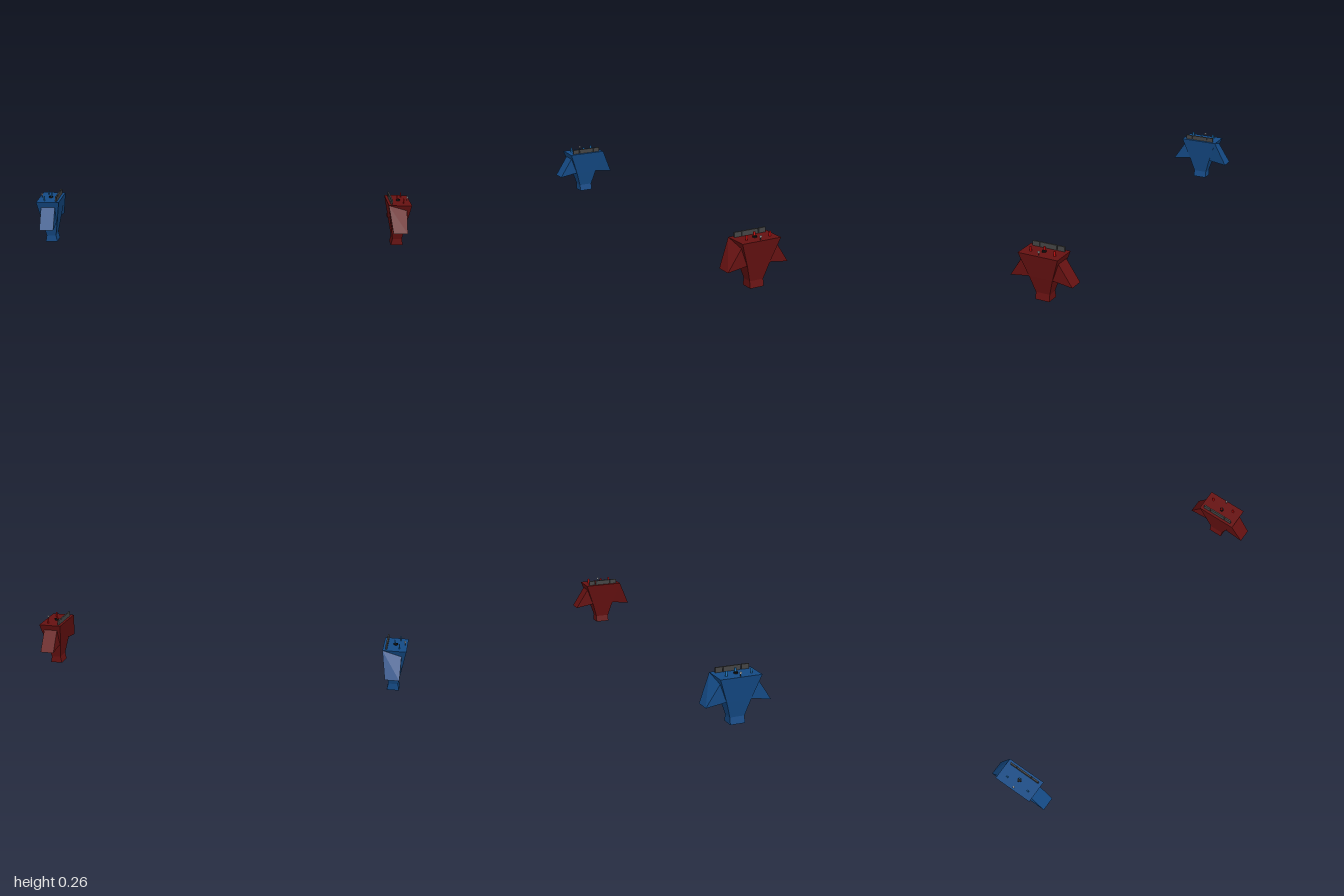
import * as THREE from 'three';

const material = (color, side = THREE.FrontSide) =>
  new THREE.MeshStandardMaterial({ color, flatShading: true, side });

function part(name, geometry, mat, x = 0, y = 0, z = 0) {
  const mesh = new THREE.Mesh(geometry, mat);
  mesh.name = name;
  mesh.position.set(x, y, z);
  return mesh;
}

// Tapered pedestal: a box whose rings follow a list of [y, halfX, halfZ]
function bodyGeometry() {
  const rings = [[0, 0.032, 0.038], [0.035, 0.025, 0.038], [0.118, 0.04, 0.063], [0.24, 0.061, 0.107]];
  const geometry = new THREE.BoxGeometry(2, 3, 2, 1, 3, 1);
  const p = geometry.attributes.position;
  for (let i = 0; i < p.count; i++) {
    const [y, hx, hz] = rings[Math.round(p.getY(i) + 1.5)];
    p.setXYZ(i, p.getX(i) * hx, y, p.getZ(i) * hz);
  }
  geometry.computeVertexNormals();
  return geometry;
}

// Triangular wedge pointing to +z; one upper corner may reach the body's top corner
function finGeometry(innerTop) {
  const w = 0.037;
  const corners = [
    innerTop, [w, 0.21, 0.097],
    [-w, 0.103, 0.168], [w, 0.103, 0.168],
    [-w, 0.118, 0.063], [w, 0.118, 0.063],
  ];
  const faces = [0, 2, 3, 0, 3, 1, 4, 5, 3, 4, 3, 2, 1, 3, 5, 0, 4, 2];
  const geometry = new THREE.BufferGeometry();
  geometry.setAttribute('position', new THREE.Float32BufferAttribute(faces.flatMap((i) => corners[i]), 3));
  geometry.computeVertexNormals();
  return geometry;
}

function createPod(name, bodyColor, accentColor) {
  const pod = new THREE.Group();
  pod.name = name;
  const shell = material(bodyColor, THREE.DoubleSide);
  const accent = material(accentColor);
  const dark = material(0x444444);

  // Pedestal and its two wedges
  pod.add(part('pedestal', bodyGeometry(), shell));
  pod.add(part('frontFin', finGeometry([-0.061, 0.24, 0.107]), shell));
  const backFin = part('backFin', finGeometry([-0.037, 0.21, 0.097]), shell);
  backFin.rotation.y = Math.PI;
  pod.add(backFin);

  // Row of upright panels along the inner edge
  for (const [z, length] of [[0.067, 0.038], [0, 0.09], [-0.069, 0.038]]) {
    pod.add(part('panel', new THREE.BoxGeometry(0.008, 0.025, length), dark, -0.043, 0.2525, z));
  }

  // Thin coloured levers
  for (const [x, z] of [[0.022, 0.06], [0.022, -0.07], [-0.005, 0]]) {
    pod.add(part('lever', new THREE.BoxGeometry(0.005, 0.025, 0.01), accent, x, 0.2525, z));
  }

  // Central knob and small outer switch
  pod.add(part('knob', new THREE.CylinderGeometry(0.011, 0.011, 0.008, 12), material(0x111111), 0, 0.243, 0));
  pod.add(part('switchStem', new THREE.BoxGeometry(0.002, 0.016, 0.002), dark, 0.048, 0.247, 0));
  pod.add(part('switchTip', new THREE.BoxGeometry(0.007, 0.008, 0.009), material(0xcccccc), 0.048, 0.257, 0));
  return pod;
}

export function createModel() {
  const model = new THREE.Group();
  model.name = 'pairOfPedestals';
  // Two facing pedestals, one turned half way round
  const red = createPod('redPedestal', 0x661111, 0xcc1111);
  red.position.set(0.939, 0, 0.002);
  const blue = createPod('bluePedestal', 0x144a85, 0x2277bb);
  blue.position.set(-0.939, 0, -0.002);
  blue.rotation.y = Math.PI;
  model.add(red, blue);
  return model;
}
